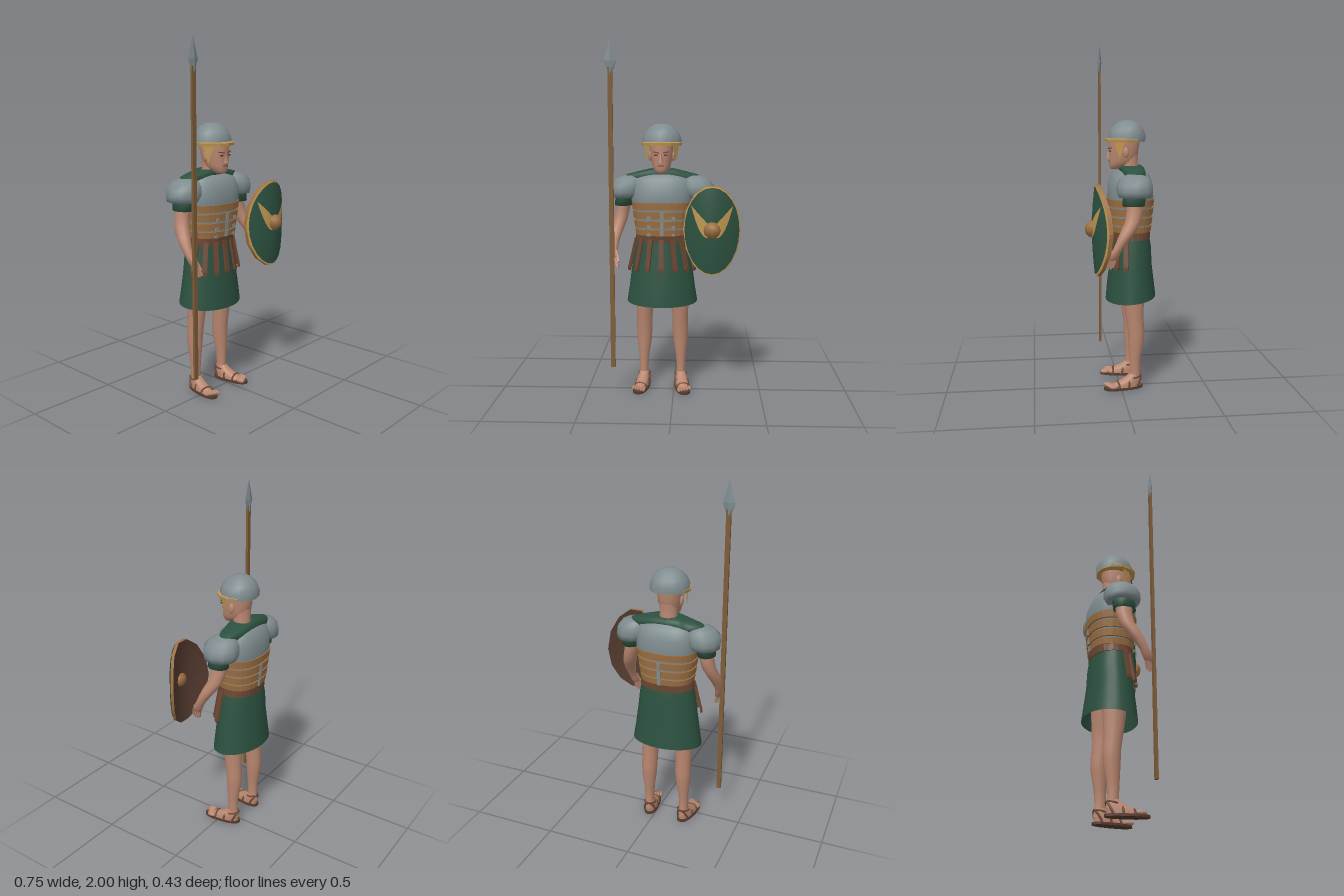
import * as THREE from 'three';

const mat = (name, color, side = THREE.FrontSide) => {
  const m = new THREE.MeshStandardMaterial({ color, side });
  m.name = name;
  return m;
};

const V = (x, y, z) => new THREE.Vector3(x, y, z);

// Stack of horizontal ellipses, bottom to top: [y, cx, cz, rx, rz]
function loft(rings, n = 20, p = 2, flat = false) {
  const pos = [], idx = [];
  const pw = (c) => Math.sign(c) * Math.pow(Math.abs(c), 2 / p);
  rings.forEach(([y, cx, cz, rx, rz]) => {
    for (let j = 0; j < n; j++) {
      const a = (j / n) * Math.PI * 2;
      pos.push(cx + rx * pw(Math.cos(a)), y, cz + rz * pw(Math.sin(a)));
    }
  });
  for (let i = 0; i < rings.length - 1; i++) {
    for (let j = 0; j < n; j++) {
      const a = i * n + j, b = i * n + ((j + 1) % n);
      idx.push(a, a + n, b, b, a + n, b + n);
    }
  }
  let g = new THREE.BufferGeometry();
  g.setAttribute('position', new THREE.Float32BufferAttribute(pos, 3));
  g.setIndex(idx);
  if (flat) g = g.toNonIndexed();
  g.computeVertexNormals();
  return g;
}

// Flat bar from p to q whose broad face looks along n
function bar(p, q, n, width, thick) {
  const y = q.clone().sub(p), len = y.length();
  y.normalize();
  const x = y.clone().cross(n).normalize();
  const z = x.clone().cross(y);
  const m = new THREE.Matrix4().makeBasis(x, y, z);
  m.setPosition(p.clone().add(q).multiplyScalar(0.5));
  return new THREE.BoxGeometry(width, len, thick).applyMatrix4(m);
}

export function createModel() {
  const model = new THREE.Group();
  model.name = 'spearman';
  const steel = mat('steel', 0x7f8c8f);
  const green = mat('green cloth', 0x2c5140, THREE.DoubleSide);
  const skin = mat('skin', 0xb98770);
  const brown = mat('brown leather', 0x6a4632);
  const tan = mat('tan leather', 0x9c6f42);
  const gold = mat('gold trim', 0xbd9550, THREE.DoubleSide);
  const wood = mat('spear wood', 0x7d5c38);
  const dark = mat('dark leather', 0x533a2e);

  const add = (parent, name, geo, m, x = 0, y = 0, z = 0) => {
    const mesh = new THREE.Mesh(geo, m);
    mesh.name = name;
    mesh.position.set(x, y, z);
    parent.add(mesh);
    return mesh;
  };

  const body = new THREE.Group();
  body.name = 'body';
  body.position.x = -0.07;
  model.add(body);

  // Cuirass
  add(body, 'cuirass', loft([[0.89, 0, -0.068, 0.138, 0.104], [1.0, 0, -0.067, 0.152, 0.118],
    [1.09, 0, -0.067, 0.164, 0.124], [1.11, 0, -0.067, 0.176, 0.13], [1.18, 0, -0.067, 0.176, 0.127],
    [1.235, 0, -0.07, 0.16, 0.105], [1.26, 0, -0.075, 0.1, 0.07]], 28, 2.5), steel);
  [0.916, 0.96, 1.012, 1.064].forEach((y, i) => {
    const rx = 0.15 + i * 0.007, rz = 0.117 + i * 0.005, h = i ? 0.04 : 0.034;
    add(body, 'waistBand', loft([[y, 0, -0.067, rx - 0.02, rz - 0.02], [y, 0, -0.067, rx, rz],
      [y + h, 0, -0.067, rx + 0.005, rz + 0.004], [y + h, 0, -0.067, rx - 0.02, rz - 0.02]], 28, 2.5, true), tan);
    // Steel clasps, front and back
    for (const s of [-1, 1]) if (i < 3) {
      add(body, 'clasp', new THREE.BoxGeometry(0.02, h * 0.95, 0.008), steel, 0.005, y + h / 2, -0.067 + s * (rz + 0.003));
      add(body, 'sideClasp', new THREE.BoxGeometry(0.02, h * 0.4, 0.008), steel, s * 0.07, y + h * 0.2, -0.067 + rz - 0.002);
    }
  });

  // Belt and skirt
  add(body, 'belt', loft([[0.875, 0, -0.07, 0.13, 0.09], [0.875, 0, -0.07, 0.156, 0.111],
    [0.93, 0, -0.067, 0.148, 0.116], [0.932, 0, -0.067, 0.12, 0.09]], 28, 2.2, true), brown);
  const skirt = loft([[0.51, 0, -0.07, 0.205, 0.145], [0.6, 0, -0.07, 0.192, 0.137], [0.72, 0, -0.07, 0.176, 0.122],
    [0.82, 0, -0.073, 0.163, 0.115], [0.91, 0, -0.07, 0.145, 0.102]], 28);
  const sp = skirt.attributes.position;
  for (let i = 0; i < sp.count; i++) if (sp.getY(i) < 0.52) sp.setY(i, 0.52 - 0.1 * (sp.getZ(i) + 0.07));
  add(body, 'skirt', skirt, green);

  // Hanging leather strips, fanned over the front
  for (let i = -3; i <= 3; i++) {
    const a = i * 0.4, n = V(Math.sin(a), 0, Math.cos(a));
    const at = (rx, rz, y) => V(rx * n.x, y, -0.07 + rz * n.z);
    const top = at(0.157, 0.113, 0.895), end = at(0.2, 0.137, 0.72);
    add(body, 'hangingStrip', bar(end, top, n, 0.028, 0.012), brown);
    const tip = add(body, 'stripTip', new THREE.CylinderGeometry(0.014, 0.014, 0.012, 10), brown, end.x, end.y, end.z);
    tip.rotation.set(Math.PI / 2, 0, -a);
  }

  // Neck cloth
  add(body, 'neckCloth', loft([[1.2, 0, -0.078, 0.19, 0.06], [1.235, 0, -0.078, 0.232, 0.068], [1.258, 0, -0.078, 0.205, 0.07],
    [1.275, 0, -0.076, 0.14, 0.068], [1.29, 0, -0.072, 0.075, 0.06], [1.283, 0, -0.068, 0.045, 0.045]], 24, 2.2), green);

  // Head
  add(body, 'neck', loft([[1.22, 0, -0.068, 0.055, 0.052], [1.3, 0, -0.06, 0.048, 0.05], [1.36, 0, -0.06, 0.05, 0.055]]), skin);
  add(body, 'head', loft([[1.268, 0, 0.022, 0, 0], [1.27, 0, 0.02, 0.022, 0.024], [1.29, 0, 0.002, 0.042, 0.052],
    [1.315, 0, -0.02, 0.053, 0.074], [1.35, 0, -0.027, 0.06, 0.083], [1.39, 0, -0.03, 0.065, 0.088],
    [1.44, 0, -0.034, 0.067, 0.09]], 20, 2.3), skin);
  const nose = add(body, 'nose', new THREE.ConeGeometry(0.015, 0.052, 4), skin, 0, 1.358, 0.056);
  nose.scale.z = 1.1;
  add(body, 'mouth', new THREE.BoxGeometry(0.036, 0.005, 0.008), brown, 0, 1.314, 0.051);
  for (const s of [-1, 1]) {
    add(body, 'eye', new THREE.BoxGeometry(0.02, 0.007, 0.008), dark, s * 0.028, 1.372, 0.052);
    add(body, 'brow', bar(V(s * 0.011, 1.385, 0.055), V(s * 0.045, 1.391, 0.046), V(0, 0, 1), 0.006, 0.008), brown);
    add(body, 'ear', new THREE.SphereGeometry(1, 8, 6), skin, s * 0.065, 1.365, -0.035).scale.set(0.01, 0.03, 0.018);
    // Cheek guard
    const t = new THREE.Shape([[-0.032, 0.01], [0.032, 0.01], [0.014, -0.05], [0, -0.095], [-0.018, -0.05]]
      .map(([x, y]) => new THREE.Vector2(x, y)));
    const guard = add(body, 'cheekGuard', new THREE.ShapeGeometry(t), gold, s * 0.082, 1.425, 0.002);
    guard.rotation.y = s * 1.0;
  }

  // Helmet
  add(body, 'helmetDome', loft([[1.428, 0, -0.046, 0.112, 0.108], [1.46, 0, -0.047, 0.111, 0.108], [1.495, 0, -0.048, 0.098, 0.095],
    [1.525, 0, -0.05, 0.07, 0.068], [1.543, 0, -0.05, 0.036, 0.035], [1.546, 0, -0.05, 0, 0]], 12), steel);
  add(body, 'helmetRim', loft([[1.424, 0, -0.045, 0.07, 0.07], [1.424, 0, -0.036, 0.113, 0.114],
    [1.44, 0, -0.036, 0.116, 0.116], [1.446, 0, -0.046, 0.108, 0.104]], 12, 2, true), gold);

  for (const s of [-1, 1]) {
    // Shoulder guard, sleeve and arm
    add(body, 'shoulderGuard', loft([[1.14, s * 0.215, -0.066, 0.04, 0.05], [1.13, s * 0.215, -0.066, 0.082, 0.092],
      [1.16, s * 0.205, -0.066, 0.097, 0.102], [1.2, s * 0.2, -0.066, 0.097, 0.1], [1.235, s * 0.19, -0.068, 0.075, 0.078],
      [1.252, s * 0.18, -0.07, 0.035, 0.04], [1.254, s * 0.18, -0.07, 0, 0]], 10), steel);
    add(body, 'sleeve', loft([[1.1, s * 0.22, -0.06, 0.03, 0.035], [1.082, s * 0.222, -0.058, 0.05, 0.062],
      [1.13, s * 0.215, -0.06, 0.054, 0.064], [1.18, s * 0.205, -0.062, 0.055, 0.06]], 14), green);
    add(body, 'arm', loft([[0.785, s * 0.256, 0.066, 0, 0], [0.79, s * 0.256, 0.066, 0.015, 0.028], [0.82, s * 0.263, 0.053, 0.019, 0.031],
      [0.85, s * 0.267, 0.035, 0.021, 0.026], [0.9, s * 0.265, 0.006, 0.029, 0.033], [0.95, s * 0.254, -0.025, 0.036, 0.041],
      [1.0, s * 0.238, -0.052, 0.038, 0.043], [1.06, s * 0.225, -0.062, 0.039, 0.045], [1.13, s * 0.215, -0.06, 0.042, 0.048]], 14), skin);
    for (let i = 0; i < 4; i++) {
      const z = 0.046 + i * 0.014;
      add(body, 'finger', bar(V(s * 0.243, 0.735 + Math.abs(i - 1.3) * 0.008, z + 0.014), V(s * 0.256, 0.795, z), V(s, 0, 0), 0.011, 0.013), skin);
    }
    add(body, 'thumb', bar(V(s * 0.238, 0.775, 0.09), V(s * 0.255, 0.835, 0.062), V(s, 0, 0), 0.014, 0.014), skin);

    // Leg
    add(body, 'leg', loft([[0.04, s * 0.108, -0.085, 0.028, 0.036], [0.1, s * 0.11, -0.083, 0.025, 0.029], [0.18, s * 0.109, -0.084, 0.03, 0.034],
      [0.27, s * 0.107, -0.09, 0.042, 0.045], [0.34, s * 0.106, -0.09, 0.046, 0.048], [0.43, s * 0.104, -0.08, 0.046, 0.052],
      [0.52, s * 0.102, -0.076, 0.054, 0.061], [0.65, s * 0.09, -0.072, 0.066, 0.073], [0.8, s * 0.075, -0.07, 0.07, 0.075]], 16), skin);

    // Foot and sandal, toes turned slightly outward
    const foot = new THREE.Group();
    foot.name = 'foot';
    foot.position.set(s * 0.108, 0, -0.085);
    foot.rotation.y = s * 0.16;
    body.add(foot);
    add(foot, 'sole', loft([[0, 0, 0.072, 0, 0], [0, 0, 0.072, 0.043, 0.115], [0.013, 0, 0.072, 0.043, 0.115],
      [0.013, 0, 0.072, 0, 0]], 18, 2.4, true), dark);
    add(foot, 'footSkin', loft([[0.012, 0, 0.06, 0.037, 0.092], [0.028, 0, 0.055, 0.037, 0.088], [0.045, 0, 0.032, 0.034, 0.066],
      [0.065, 0, 0.012, 0.03, 0.045], [0.085, 0, 0.002, 0.026, 0.032]], 16, 2.2), skin);
    for (let i = -2; i <= 2; i++) {
      const toe = add(foot, 'toe', new THREE.SphereGeometry(1, 8, 6), skin, i * 0.0165, 0.022, 0.158 - (i * s + 2) * 0.006);
      toe.scale.set(0.009, 0.011, 0.028);
    }
    for (const [z, r, h, tilt] of [[0.105, 0.04, 0.04, 0], [0.05, 0.04, 0.065, -0.3], [0.0, 0.034, 0.085, -0.9]]) {
      const strap = add(foot, 'sandalStrap', new THREE.TorusGeometry(1, 0.13, 5, 14, Math.PI), brown, 0, 0.008, z);
      strap.scale.set(r, h * 0.85, 0.05);
      strap.rotation.x = tilt * 0.5;
    }
    const ankle = add(foot, 'ankleStrap', new THREE.TorusGeometry(0.033, 0.005, 5, 16), brown, 0, 0.068, 0.002);
    ankle.rotation.x = Math.PI / 2 + 0.2;
  }

  // Spear
  add(model, 'spearShaft', new THREE.BoxGeometry(0.026, 1.69, 0.014), wood, -0.345, 1.005, 0.083);
  const point = loft([[1.82, 0, 0, 0.012, 0.01], [1.885, 0, 0, 0.035, 0.012], [2.0, 0, 0, 0, 0]], 4, 2, true);
  add(model, 'spearPoint', point, steel, -0.345, 0, 0.083);

  // Shield: every layer is bent by the same rule
  const shield = new THREE.Group();
  shield.name = 'shield';
  shield.position.set(0.215, 0.963, 0.172);
  model.add(shield);
  const bend = (g) => {
    const p = g.attributes.position;
    for (let i = 0; i < p.count; i++) {
      const x = p.getX(i), y = p.getY(i);
      p.setZ(i, p.getZ(i) - 2.9 * x * x - 0.25 * y * y);
    }
    g.computeVertexNormals();
    return g;
  };
  const disc = (inner, outer, z, n) => new THREE.RingGeometry(inner, outer, n, 5).scale(0.16, 0.252, 1).translate(0, 0, z);
  add(shield, 'shieldFace', bend(disc(0.001, 0.95, 0.005, 24)), green);
  add(shield, 'shieldRim', bend(disc(0.85, 1, 0, 14)), gold);
  add(shield, 'shieldBack', bend(disc(0.001, 1, 0.02, 14).rotateY(Math.PI)), dark);
  const edge = new THREE.CylinderGeometry(1, 1, 0.02, 14, 1, true).rotateX(Math.PI / 2).rotateZ(Math.PI / 2);
  add(shield, 'shieldEdge', bend(edge.scale(0.16, 0.252, 1).translate(0, 0, -0.01)), tan);
  add(shield, 'shieldBoss', new THREE.SphereGeometry(1, 8, 6), tan, 0, 0.007, 0).scale.set(0.049, 0.047, 0.044);
  for (const s of [-1, 1]) {
    const wing = new THREE.PlaneGeometry(1, 1, 8, 3), p = wing.attributes.position;
    for (let i = 0; i < p.count; i++) {
      const u = p.getX(i) + 0.5, v = p.getY(i) + 0.5;
      const low = -0.035 + 0.175 * u * u, high = 0.045 + 0.095 * u;
      p.setXYZ(i, s * (0.025 + 0.09 * u), low + (high - low) * v, 0.01);
    }
    add(shield, 'shieldWing', bend(wing), gold);
  }

  return model;
}
